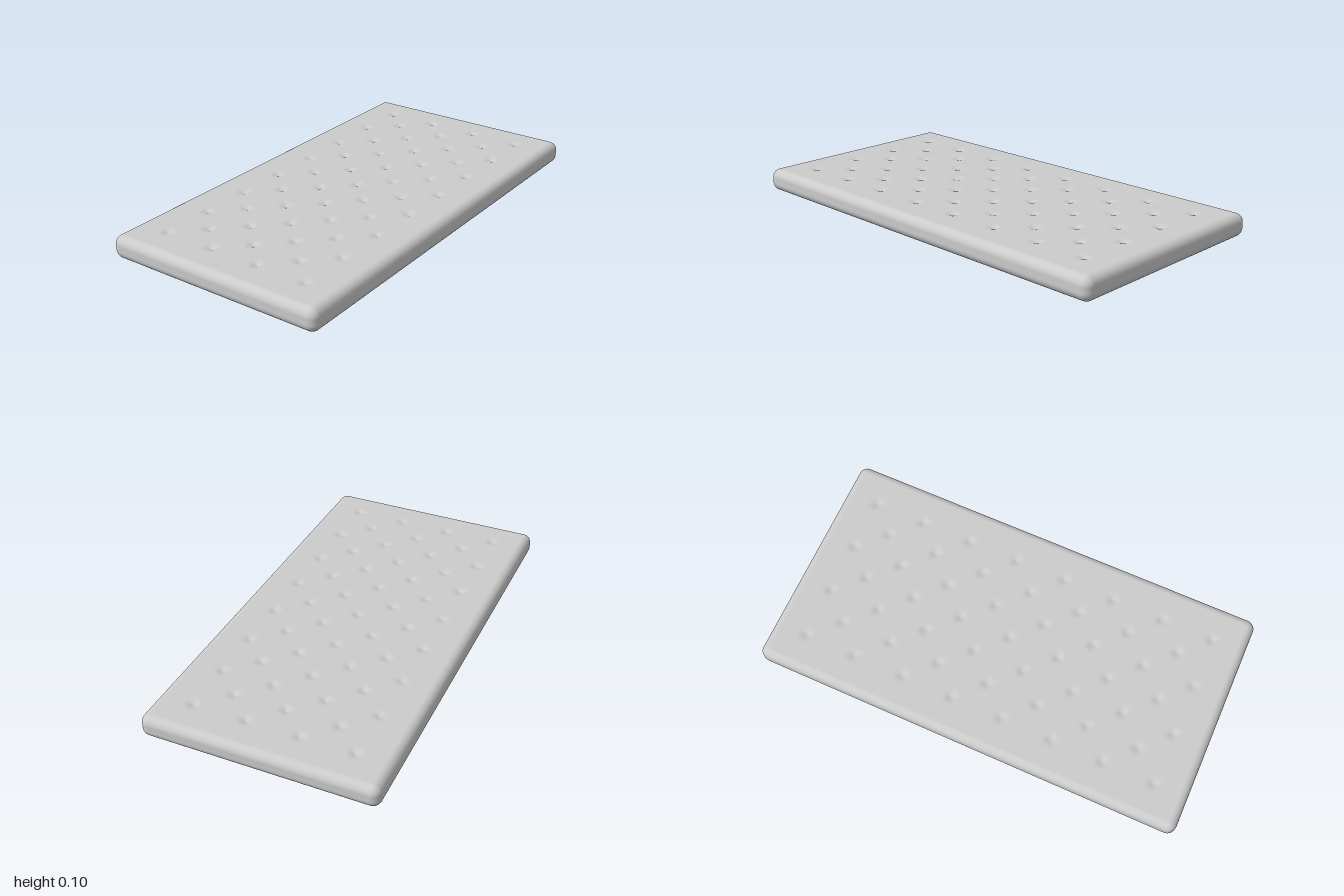
import * as THREE from 'three';
import { RoundedBoxGeometry } from 'three/addons/geometries/RoundedBoxGeometry.js';

const W = 2, H = 0.105, D = 1.05, R = 0.04; // mattress size and edge radius
const STEP = 0.12; // tuft spacing, staggered from row to row
const TUFT_R = 0.04, TUFT_DEPTH = 0.012;

// Tuft centres: seven rows of alternately eight and seven
function tuftCentres() {
  const centres = [];
  for (let row = -3; row <= 3; row++) {
    const count = row % 2 ? 8 : 7;
    for (let i = 0; i < count; i++) {
      centres.push([(i - (count - 1) / 2) * 2 * STEP, row * STEP]);
    }
  }
  return centres;
}

// Rounded slab, left open where the tufted top panel goes
function slabGeometry() {
  const box = new RoundedBoxGeometry(W, H, D, 6, R);
  const pos = box.attributes.position, nor = box.attributes.normal;
  const points = [], normals = [];
  for (let i = 0; i < pos.count; i += 3) {
    const onTop = [0, 1, 2].every((k) => pos.getY(i + k) > H / 2 - 1e-5);
    if (onTop) continue;
    for (let k = i; k < i + 3; k++) {
      points.push(pos.getX(k), pos.getY(k) + H / 2, pos.getZ(k));
      normals.push(nor.getX(k), nor.getY(k), nor.getZ(k));
    }
  }
  const geo = new THREE.BufferGeometry();
  geo.setAttribute('position', new THREE.Float32BufferAttribute(points, 3));
  geo.setAttribute('normal', new THREE.Float32BufferAttribute(normals, 3));
  return geo;
}

// Fine grid pressed down around each tuft
function topGeometry() {
  const geo = new THREE.PlaneGeometry(W - 2 * R, D - 2 * R, 192, 98);
  geo.rotateX(-Math.PI / 2);
  const pos = geo.attributes.position;
  const centres = tuftCentres();
  for (let i = 0; i < pos.count; i++) {
    let y = H;
    for (const [x, z] of centres) {
      const t = Math.hypot(pos.getX(i) - x, pos.getZ(i) - z) / TUFT_R;
      if (t < 1) y -= TUFT_DEPTH * (1 - t) ** 2;
    }
    pos.setY(i, y);
  }
  geo.computeVertexNormals();
  return geo;
}

export function createModel() {
  const group = new THREE.Group();
  group.name = 'mattress';
  const fabric = new THREE.MeshStandardMaterial({ color: 0xcccccc });
  const add = (name, geometry) => {
    const mesh = new THREE.Mesh(geometry, fabric);
    mesh.name = name;
    group.add(mesh);
  };
  add('mattressBody', slabGeometry());
  add('tuftedTop', topGeometry());
  return group;
}
